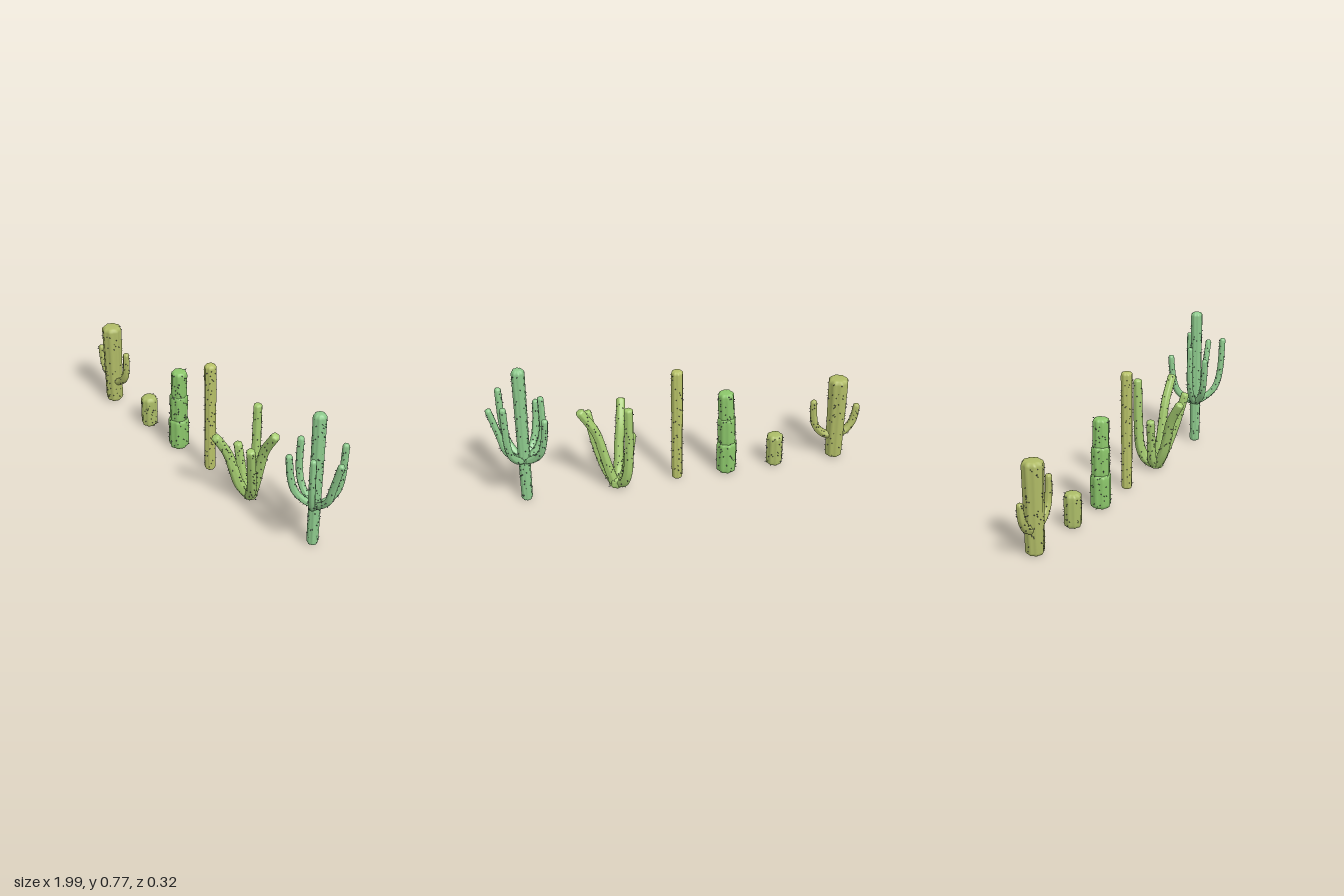
import * as THREE from 'three';
import { mergeGeometries } from 'three/addons/utils/BufferGeometryUtils.js';

const Z = -0.035; // the row's depth
let seed = 7;
const rand = () => (seed = (seed * 16807) % 2147483647) / 2147483647;
const spineMaterial = new THREE.MeshStandardMaterial({ color: 0x55555c });

// Ribbed stem swept along a path, with rounded closed ends
function stem(points, r0, r1, { ribs = 8, depth = 0.13, bevel = 0.6, spines = 30 } = {}) {
  const curve = new THREE.CatmullRomCurve3(points.map((p) => new THREE.Vector3(...p)));
  const length = curve.getLength();
  const frames = curve.computeFrenetFrames(200);
  const sides = ribs * 4;
  const body = points.length > 2 ? 20 : 6;
  const radius = (u) => r0 + (r1 - r0) * u;
  const rim = (r) => (r * bevel) / length;

  // Rings as [position along the path, scale of the radius]
  const rings = [];
  const cap = [[0, 0.001], [0, 1 - bevel], [0.13, 1 - bevel * 0.5], [0.5, 1 - bevel * 0.13], [1, 1]];
  cap.forEach(([d, s]) => rings.push([d * rim(r0), s]));
  for (let i = 1; i < body; i++) {
    rings.push([rim(r0) + ((1 - rim(r0) - rim(r1)) * i) / body, 1]);
  }
  cap.reverse().forEach(([d, s]) => rings.push([1 - d * rim(r1), s]));

  const outward = (u, a) => {
    const k = Math.round(u * 200);
    return frames.normals[k].clone().multiplyScalar(Math.cos(a))
      .addScaledVector(frames.binormals[k], Math.sin(a));
  };
  const surface = (u, a, scale = 1) => {
    const r = radius(u) * scale * (1 - depth * (0.5 - 0.5 * Math.cos(ribs * a)));
    return curve.getPointAt(u).addScaledVector(outward(u, a), r);
  };

  const position = [];
  const index = [];
  rings.forEach(([u, s], i) => {
    for (let j = 0; j < sides; j++) {
      position.push(...surface(u, (j / sides) * Math.PI * 2, s).toArray());
      if (i === rings.length - 1) continue;
      const a = i * sides + j;
      const b = i * sides + ((j + 1) % sides);
      index.push(a, b, a + sides, b, b + sides, a + sides);
    }
  });
  const skin = new THREE.BufferGeometry();
  skin.setAttribute('position', new THREE.Float32BufferAttribute(position, 3));
  skin.setIndex(index);
  skin.computeVertexNormals();

  // Small cones scattered over the skin
  const cones = [];
  const up = new THREE.Vector3(0, 1, 0);
  for (let i = 0; i < spines; i++) {
    const u = 0.04 + (0.93 * (i + rand())) / spines;
    const a = rand() * Math.PI * 2;
    const turn = new THREE.Quaternion().setFromUnitVectors(up, outward(u, a));
    const p = surface(u, a);
    cones.push(new THREE.ConeGeometry(0.003, 0.01, 5).translate(0, 0.003, 0)
      .applyQuaternion(turn).translate(p.x, p.y, p.z));
  }
  return { skin, spines: mergeGeometries(cones) };
}

// Gathers named stems into one plant standing at x
function cactus(name, x, color, parts) {
  const group = new THREE.Group();
  group.name = name;
  group.position.set(x, 0, Z);
  const material = new THREE.MeshStandardMaterial({ color });
  for (const [part, geometry] of parts) {
    const skin = new THREE.Mesh(geometry.skin, material);
    skin.name = part;
    const spines = new THREE.Mesh(geometry.spines, spineMaterial);
    spines.name = part + 'Spines';
    group.add(skin, spines);
  }
  return group;
}

const upright = (y0, y1, r0, r1, options) => stem([[0, y0, 0], [0, y1, 0]], r0, r1, options);

export function createModel() {
  const model = new THREE.Group();
  model.name = 'cactusRow';

  // Thick trunk with two raised arms
  const arm = { ribs: 6, bevel: 0.75, spines: 28 };
  model.add(cactus('twoArmedCactus', -0.863, 0xb0bb66, [
    ['trunk', upright(0, 0.48, 0.047, 0.056, { bevel: 0.4, spines: 85 })],
    ['rightArm', stem([[-0.02, 0.13, 0], [-0.065, 0.155, 0], [-0.1, 0.21, 0], [-0.116, 0.305, 0]], 0.023, 0.018, arm)],
    ['leftArm', stem([[0.02, 0.13, 0], [0.07, 0.15, 0], [0.115, 0.205, 0], [0.128, 0.27, 0], [0.131, 0.362, 0]], 0.023, 0.018, arm)],
  ]));

  // Short barrel
  model.add(cactus('barrelCactus', -0.523, 0xacbd68, [
    ['barrel', upright(0, 0.184, 0.045, 0.046, { bevel: 0.45, spines: 48 })],
  ]));

  // Three stacked segments
  const segment = { bevel: 0.4, spines: 45 };
  model.add(cactus('stackedCactus', -0.254, 0x8cc76b, [
    ['lowerSegment', upright(0, 0.19, 0.054, 0.056, segment)],
    ['middleSegment', stem([[0, 0.17, 0], [0.004, 0.342, 0]], 0.048, 0.05, segment)],
    ['upperSegment', stem([[0.004, 0.315, 0], [0.01, 0.484, 0]], 0.044, 0.043, segment)],
  ]));

  // Tall plain column
  model.add(cactus('columnCactus', 0.017, 0xb8c268, [
    ['column', upright(0, 0.65, 0.029, 0.032, { bevel: 0.5, spines: 100 })],
  ]));

  // Cluster of stems spreading from one foot
  const spread = [
    [[0.01, 0.02, 0], [0.035, 0.1, 0], [0.068, 0.23, 0], [0.102, 0.35, 0], [0.182, 0.487, 0]],
    [[0.01, 0.02, 0.012], [0.05, 0.1, 0.035], [0.088, 0.23, 0.07], [0.125, 0.415, 0.112]],
    [[-0.01, 0.02, 0.01], [-0.025, 0.1, 0.055], [-0.035, 0.2, 0.085], [-0.05, 0.3, 0.112], [-0.07, 0.425, 0.18]],
    [[-0.012, 0.024, -0.01], [-0.03, 0.055, -0.05], [-0.045, 0.12, -0.074], [-0.053, 0.25, -0.082], [-0.055, 0.515, -0.087]],
    [[-0.015, 0.024, 0], [-0.05, 0.07, 0], [-0.067, 0.16, 0.005], [-0.09, 0.305, 0.012]],
  ];
  model.add(cactus('clusterCactus', 0.345, 0xa5cc70, [
    ['foot', upright(0, 0.06, 0.04, 0.04, { bevel: 0.45, spines: 6 })],
    ...spread.map((path, i) => ['stem' + (i + 1),
      stem(path, 0.028, 0.024, { ribs: 6, bevel: 0.5, spines: 48 })]),
  ]));

  // Tall trunk with a ring of six arms: tip x, tip z, tip height, spread at the elbow
  const tips = [
    [0.163, 0, 0.568, 0.7], [0.095, 0.12, 0.612, 0.9], [-0.09, 0.1, 0.53, 0.9],
    [-0.103, 0.014, 0.592, 1], [-0.103, -0.107, 0.53, 0.9], [0.097, -0.088, 0.615, 0.9],
  ];
  model.add(cactus('candelabraCactus', 0.818, 0x8ecb8d, [
    ['trunk', upright(0, 0.772, 0.029, 0.034, { bevel: 0.6, spines: 100 })],
    ...tips.map(([x, z, y, k]) => [[0, 0.235, 0], [x * k * 0.42, 0.265, z * k * 0.42],
      [x * k * 0.8, 0.315, z * k * 0.8], [x * k, 0.395, z * k], [x, y, z]])
      .map((path, i) => ['arm' + (i + 1),
        stem(path, 0.019, 0.0175, { ribs: 6, bevel: 0.75, spines: 36 })]),
  ]));

  return model;
}
